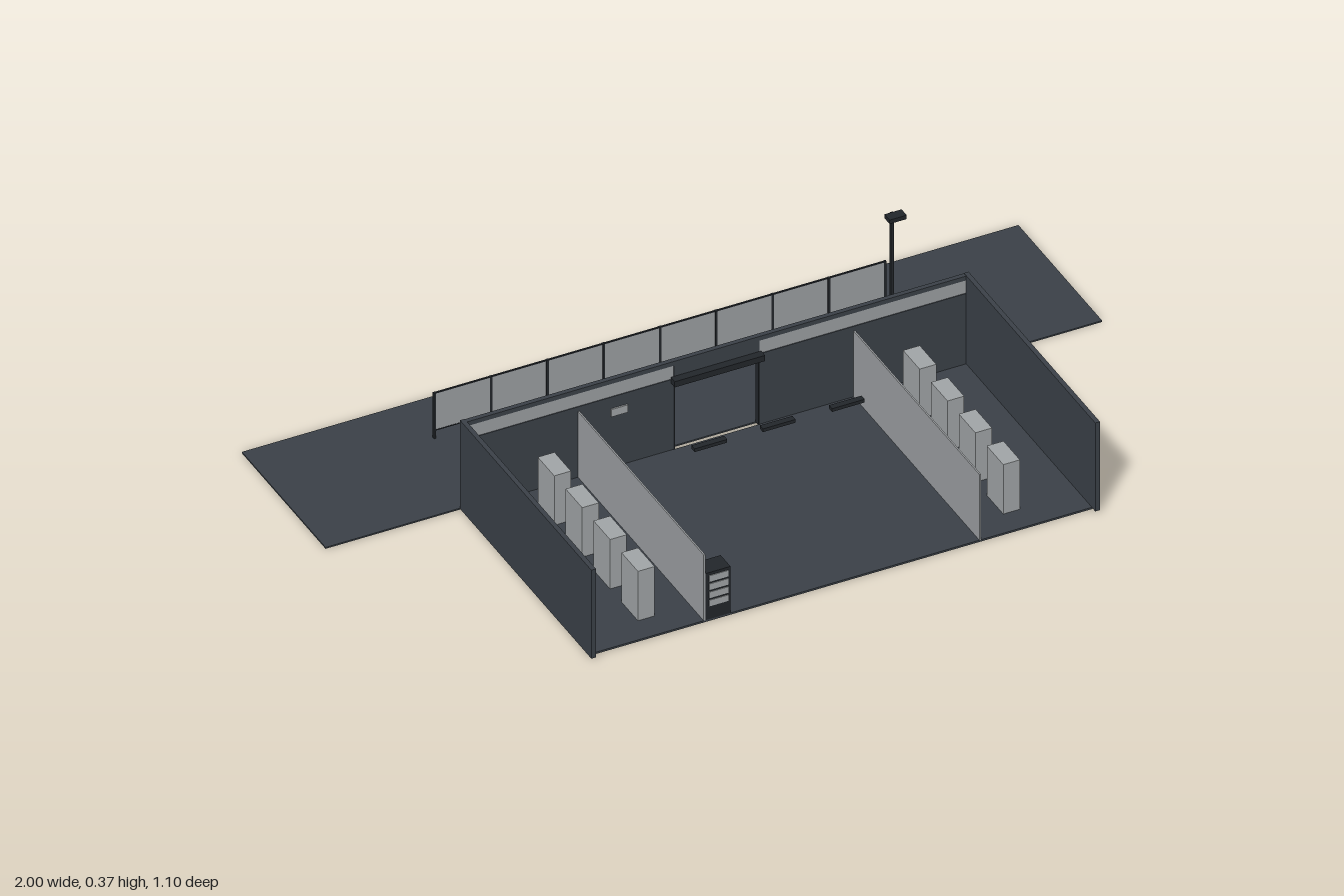
import * as THREE from 'three';

const mat = (name, color) => {
  const m = new THREE.MeshStandardMaterial({ color });
  m.name = name;
  return m;
};

export function createModel() {
  const root = new THREE.Group();
  root.name = 'stationHall';
  const slate = mat('slate', 0x3a4047);
  const black = mat('black', 0x22262a);
  const glass = mat('glass', 0x9b9ea1);
  const pale = mat('pale grey', 0xa0a4a6);

  // box given by its min and max on each axis
  const box = (name, m, x0, x1, y0, y1, z0, z1, parent = root) => {
    const mesh = new THREE.Mesh(new THREE.BoxGeometry(x1 - x0, y1 - y0, z1 - z0), m);
    mesh.position.set((x0 + x1) / 2, (y0 + y1) / 2, (z0 + z1) / 2);
    mesh.name = name;
    parent.add(mesh);
    return mesh;
  };
  const group = (name) => {
    const g = new THREE.Group();
    g.name = name;
    root.add(g);
    return g;
  };

  // ground slabs
  box('platform', slate, -1, 1, 0, 0.004, -0.55, -0.124);
  box('hallFloor', slate, -0.645, 0.645, 0, 0.005, -0.11, 0.53);

  // back wall, high windows and glass partitions, mirrored
  for (const s of [-1, 1]) {
    const side = (name, m, a, b, ...rest) =>
      box(name, m, Math.min(s * a, s * b), Math.max(s * a, s * b), ...rest);
    side('sideWall', slate, 0.643, 0.655, 0.004, 0.253, -0.122, 0.547);
    side('backWall', slate, 0.11, 0.643, 0.002, 0.203, -0.122, -0.11);
    side('windowHead', slate, 0.11, 0.643, 0.24, 0.252, -0.122, -0.11);
    side('windowStrip', glass, 0.11, 0.643, 0.203, 0.24, -0.12, -0.112);
    side('glassPartition', glass, 0.353, 0.357, 0.005, 0.19, -0.11, 0.53);
    side('doorJamb', black, 0.107, 0.111, 0.004, 0.203, -0.123, -0.109);

    // rows of ticket machines
    for (let i = 0; i < 4; i++) {
      const z = -0.006 + i * 0.142;
      side('ticketMachine', pale, 0.449, 0.492, 0.005, 0.144, z - 0.042, z + 0.042);
    }
  }

  // entrance header and air curtain
  box('doorHeader', slate, -0.11, 0.11, 0.192, 0.252, -0.122, -0.11);
  box('airCurtain', black, -0.118, 0.115, 0.194, 0.21, -0.11, -0.09);

  // notice on the back wall
  box('notice', pale, -0.273, -0.23, 0.15, 0.171, -0.11, -0.106);

  // vending machine with lit shelves
  const vending = group('vendingMachine');
  box('cabinet', black, -0.352, -0.288, 0.005, 0.136, 0.48, 0.53, vending);
  for (let i = 0; i < 4; i++) {
    const y = 0.042 + i * 0.023;
    box('shelf', pale, -0.343, -0.294, y, y + 0.017, 0.53, 0.532, vending);
  }

  // hanging lamps
  for (const x of [-0.18, -0.004, 0.174]) {
    box('hangingLamp', black, x - 0.042, x + 0.042, 0.239, 0.248, 0.201, 0.217);
  }

  // glazed platform fence
  const fence = group('fence');
  const bays = 8, half = 0.58, step = (2 * half) / bays;
  for (let i = 0; i <= bays; i++) {
    const x = -half + i * step;
    box('fencePost', black, x - 0.003, x + 0.003, 0.004, 0.132, -0.403, -0.397, fence);
    if (i < bays) {
      box('fencePane', glass, x + 0.003, x + step - 0.003, 0.028, 0.129, -0.4015, -0.3985, fence);
    }
  }
  for (const y of [0.025, 0.129]) {
    box('fenceRail', black, -half, half, y, y + 0.003, -0.402, -0.398, fence);
  }

  // platform light on a pole
  const light = group('platformLight');
  box('pole', black, 0.53, 0.538, 0.004, 0.362, -0.277, -0.269, light);
  box('lampHead', black, 0.513, 0.557, 0.356, 0.367, -0.269, -0.243, light);

  return root;
}
